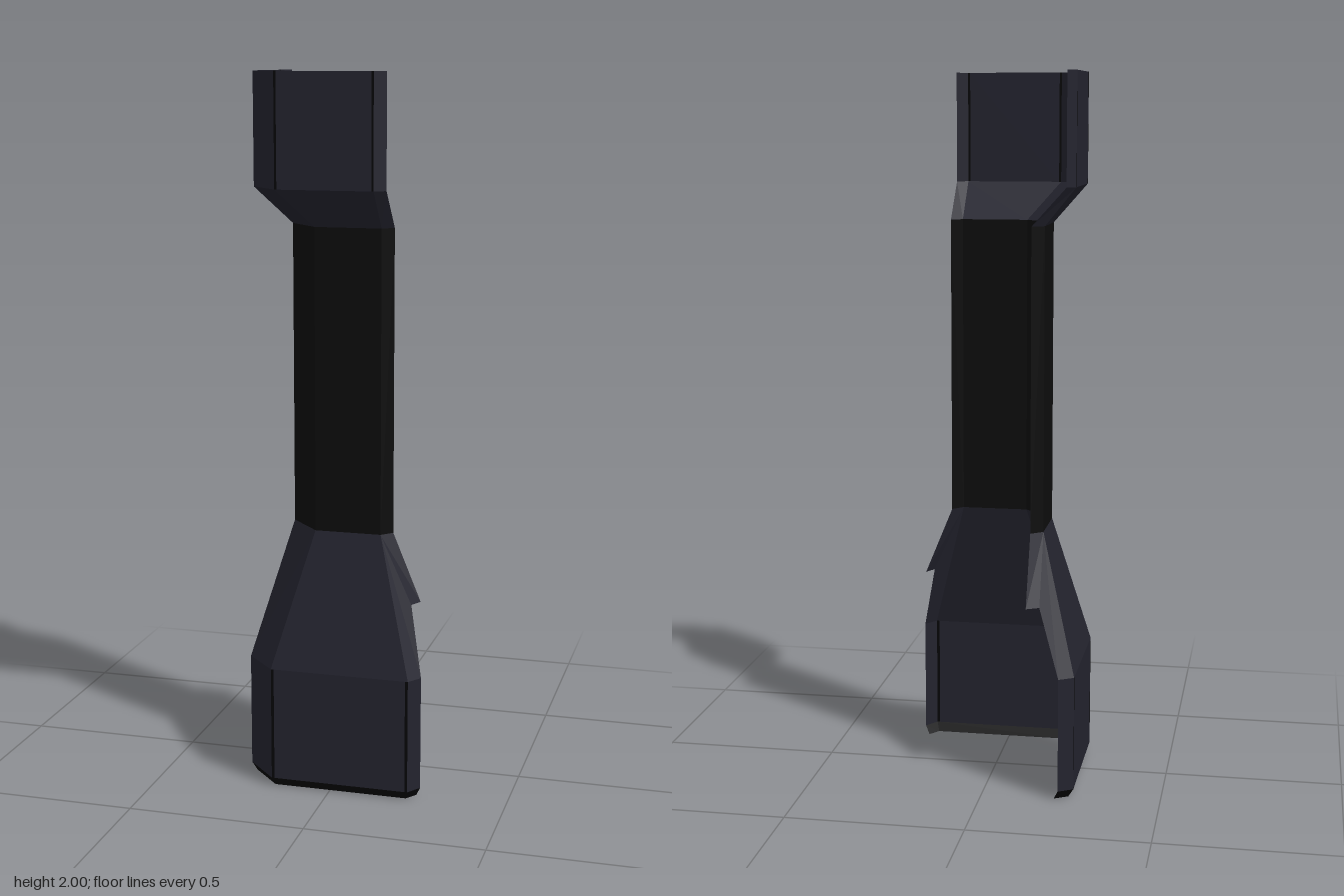
import * as THREE from 'three';

const material = (name, color) => {
  const m = new THREE.MeshStandardMaterial({ color, side: THREE.DoubleSide, flatShading: true });
  m.name = name;
  return m;
};

// Plan outlines [x, z]: back return, left wall, corner chamfer, front wall, side return
const shaftPlan = [[-0.122, -0.15], [-0.155, -0.122], [-0.155, 0.05], [-0.065, 0.147], [0.123, 0.147], [0.152, 0.116]];
const topPlan = [[-0.217, -0.15], [-0.24, -0.122], [-0.24, 0.135], [-0.15, 0.235], [0.123, 0.235], [0.152, 0.21]];
const basePlan = [[-0.217, -0.253], [-0.258, -0.228], [-0.258, 0.155], [-0.168, 0.25], [0.228, 0.25], [0.256, 0.21]];
const footPlan = [[-0.205, -0.243], [-0.243, -0.22], [-0.243, 0.15], [-0.162, 0.235], [0.22, 0.235], [0.244, 0.203]];

function meshFrom(name, positions, mat) {
  const g = new THREE.BufferGeometry();
  g.setAttribute('position', new THREE.Float32BufferAttribute(positions, 3));
  g.computeVertexNormals();
  const mesh = new THREE.Mesh(g, mat);
  mesh.name = name;
  return mesh;
}

// Open sheet joining two plans at two heights
function sheet(name, low, y0, high, y1, mat) {
  const p = [];
  for (let i = 0; i < low.length - 1; i++) {
    const a = [low[i][0], y0, low[i][1]], b = [low[i + 1][0], y0, low[i + 1][1]];
    const c = [high[i + 1][0], y1, high[i + 1][1]], d = [high[i][0], y1, high[i][1]];
    p.push(...a, ...b, ...c, ...a, ...c, ...d);
  }
  return meshFrom(name, p, mat);
}

// Upright sheet whose two walls carry narrow dark edges
function edgedPanel(name, plan, y0, y1, bodyMat, edgeMat, w = 0.008) {
  const group = new THREE.Group();
  group.name = name;
  const add = (label, pts, mat) => group.add(sheet(label, pts, y0, pts, y1, mat));
  const toward = (a, b) => {
    const t = w / Math.hypot(b[0] - a[0], b[1] - a[1]);
    return [a[0] + (b[0] - a[0]) * t, a[1] + (b[1] - a[1]) * t];
  };
  for (const i of [0, 2, 4]) add('chamferPanel', [plan[i], plan[i + 1]], bodyMat);
  for (const i of [1, 3]) {
    const a = plan[i], b = plan[i + 1], a2 = toward(a, b), b2 = toward(b, a);
    add('wallPanel', [a2, b2], bodyMat);
    add('darkEdge', [a, a2], edgeMat);
    add('darkEdge', [b2, b], edgeMat);
  }
  return group;
}

// Notched return at an end of the skirt, fanned from its top wall corner
function notchedReturn(name, pts, flip, mat) {
  const p = [];
  for (let i = 1; i < pts.length - 1; i++) {
    const tri = [pts[0], pts[i + 1], pts[i]];
    if (flip) tri.reverse();
    p.push(...tri.flat());
  }
  return meshFrom(name, p, mat);
}

export function createModel() {
  const model = new THREE.Group();
  model.name = 'cornerColumn';
  const body = material('dark slate', 0x23232e);
  const grip = material('near black', 0x0c0c0c);
  const edge = material('black edge', 0x050506);

  // Base with a narrow bevel at the foot
  model.add(sheet('footBevel', footPlan, 0, basePlan, 0.025, edge));
  model.add(edgedPanel('basePanel', basePlan, 0.025, 0.35, body, edge));

  // Tapering skirt with a notched return at each end
  model.add(sheet('skirt', basePlan.slice(1, 5), 0.35, shaftPlan.slice(1, 5), 0.735, body));
  model.add(notchedReturn('skirtBackReturn', [
    [-0.155, 0.735, -0.122], [-0.258, 0.35, -0.228], [-0.217, 0.35, -0.253],
    [-0.157, 0.54, -0.21], [-0.122, 0.54, -0.23], [-0.122, 0.735, -0.15]], false, body));
  model.add(notchedReturn('skirtSideReturn', [
    [0.123, 0.735, 0.147], [0.228, 0.35, 0.25], [0.256, 0.35, 0.21],
    [0.213, 0.54, 0.15], [0.232, 0.54, 0.116], [0.152, 0.735, 0.116]], true, body));

  // Shaft, flare and top panel
  model.add(sheet('shaft', shaftPlan, 0.735, shaftPlan, 1.585, grip));
  model.add(sheet('flare', shaftPlan, 1.585, topPlan, 1.69, body));
  model.add(edgedPanel('topPanel', topPlan, 1.69, 2, body, edge, 0.006));
  return model;
}
